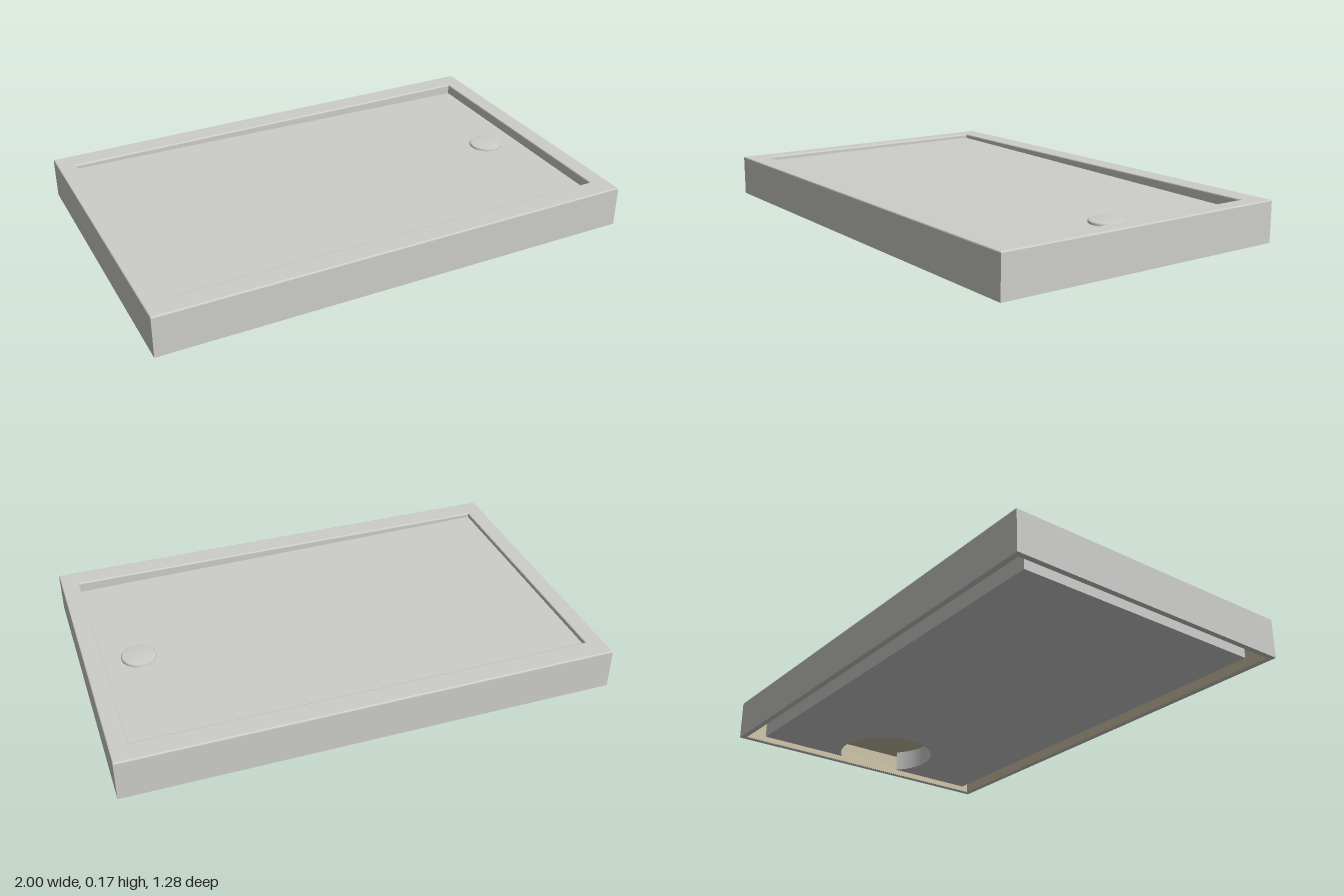
import * as THREE from 'three';

const grey = new THREE.MeshStandardMaterial({ color: 0xcdcdcb });
grey.name = 'light grey';
const tan = new THREE.MeshStandardMaterial({ color: 0xcbc1a4 });
tan.name = 'tan underside';

// Overall half sizes and height
const HX = 1, HZ = 0.64, TOP = 0.17;
// Half sizes of the sunken floor
const FX = 0.927, FZ = 0.548;
const DRAIN_X = 0.78;

function rect(Type, x, y) {
  return new Type([[-x, -y], [x, -y], [x, y], [-x, y]].map(p => new THREE.Vector2(...p)));
}

// Extrude a plan shape upwards from y0 to y1
function slab(shape, y0, y1, bevel = 0) {
  const g = new THREE.ExtrudeGeometry(shape, {
    depth: y1 - y0 - 2 * bevel, curveSegments: 40, bevelEnabled: bevel > 0,
    bevelThickness: bevel, bevelSize: bevel, bevelOffset: -bevel, bevelSegments: 2
  });
  g.translate(0, 0, y0 + bevel);
  return g.rotateX(-Math.PI / 2);
}

function frame(ox, oz, ix, iz) {
  const s = rect(THREE.Shape, ox, oz);
  s.holes.push(rect(THREE.Path, ix, iz));
  return s;
}

export function createModel() {
  const group = new THREE.Group();
  const add = (name, geometry, material) => {
    const m = new THREE.Mesh(geometry, material);
    m.name = name;
    group.add(m);
    return m;
  };

  // Thin skirt around the tray, with a softened rim on top
  add('skirt', slab(frame(HX, HZ, HX - 0.02, HZ - 0.02), 0, 0.1), grey);
  add('rim', slab(frame(HX, HZ, FX, FZ), 0.095, TOP, 0.005), grey);

  // Tan lining inside the skirt and under the tray
  add('skirtLining', slab(frame(HX - 0.02, HZ - 0.02, HX - 0.024, HZ - 0.024), 0.001, 0.092), tan);
  add('underside', slab(rect(THREE.Shape, HX - 0.02, HZ - 0.02), 0.092, 0.096), tan);

  // Sunken floor falling gently towards the drain
  const floor = new THREE.BoxGeometry(2 * FX, 0.04, 2 * FZ);
  const p = floor.attributes.position;
  for (let i = 0; i < p.count; i++) {
    const fall = (p.getX(i) + FX) / (2 * FX);
    p.setY(i, p.getY(i) > 0 ? TOP - 0.018 - 0.025 * fall : 0.097);
  }
  floor.computeVertexNormals();
  add('floor', floor, grey);

  // Support board below, cut out around the drain through its edge
  const bx = 0.925, bz = 0.55, r = 0.21;
  const a = Math.acos((bx - DRAIN_X) / r), h = r * Math.sin(a);
  const board = new THREE.Shape();
  board.moveTo(-bx, -bz);
  board.lineTo(bx, -bz);
  board.lineTo(bx, -h);
  board.absarc(DRAIN_X, 0, r, -a, a, true);
  board.lineTo(bx, bz);
  board.lineTo(-bx, bz);
  board.closePath();
  add('supportBoard', slab(board, 0.002, 0.092), grey);

  // Slightly domed drain cover and its outlet below
  const cover = [[0.07, 0], [0.07, 0.009], [0.066, 0.012], [0.035, 0.014], [0, 0.015]];
  add('drainCover', new THREE.LatheGeometry(cover.map(c => new THREE.Vector2(...c)), 40), grey)
    .position.set(DRAIN_X, 0.128, 0);
  add('drainOutlet', new THREE.CylinderGeometry(0.07, 0.07, 0.006, 40), tan)
    .position.set(DRAIN_X, 0.09, 0);

  return group;
}
